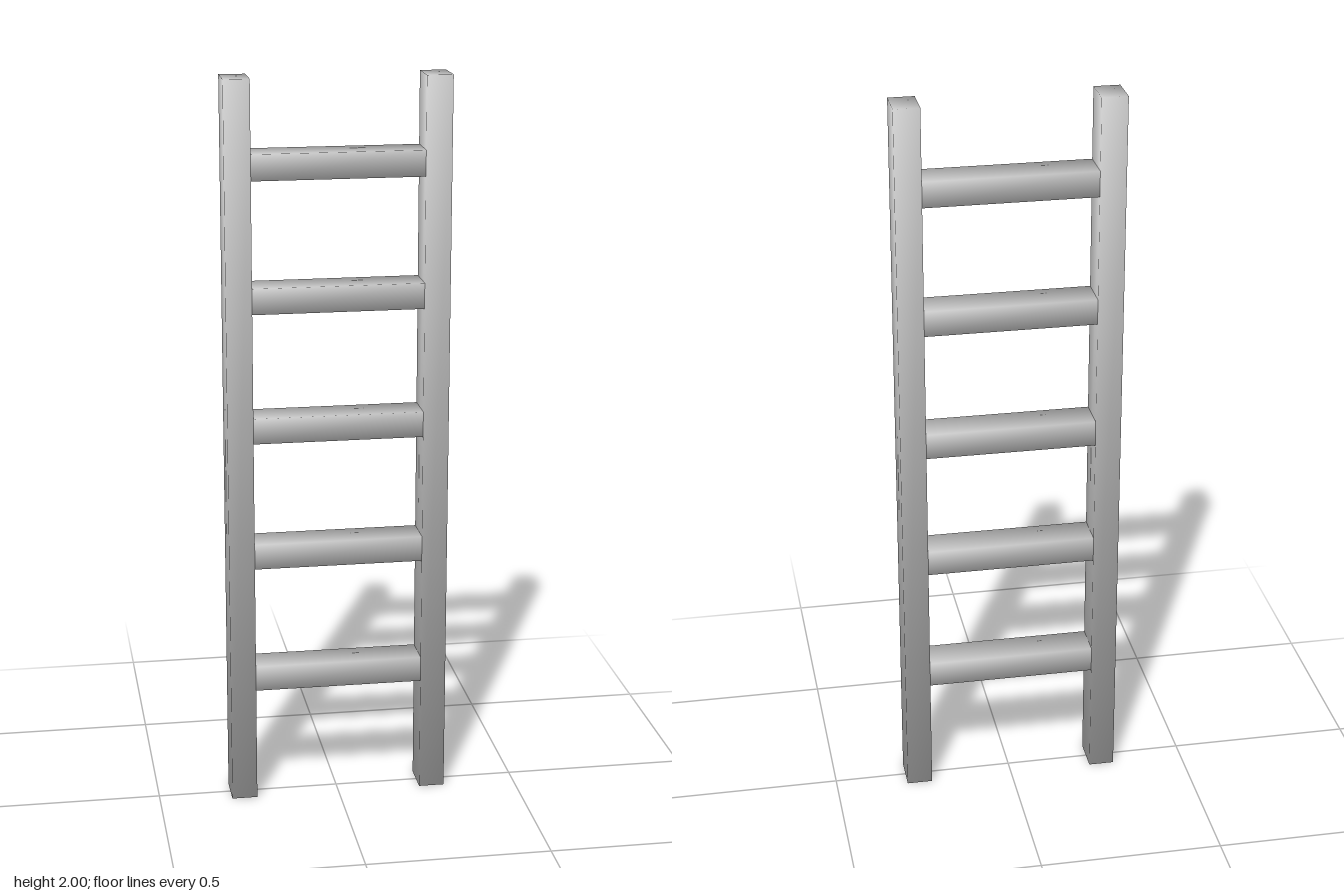
import * as THREE from 'three';

const HEIGHT = 2, HALF_WIDTH = 0.3, RAIL = 0.07, DEPTH = 0.098;
const RUNGS = 5, RUNG_HEIGHT = 0.07, FIRST_RUNG = 0.355, RUNG_STEP = 0.354;

// Box whose normals point out through its corners, for soft shading
function softBox(w, h, d) {
  const geometry = new THREE.BoxGeometry(w, h, d);
  const { position, normal } = geometry.attributes;
  const v = new THREE.Vector3();
  for (let i = 0; i < position.count; i++) {
    v.fromBufferAttribute(position, i);
    v.set(Math.sign(v.x), Math.sign(v.y), Math.sign(v.z)).normalize();
    normal.setXYZ(i, v.x, v.y, v.z);
  }
  return geometry;
}

export function createModel() {
  const ladder = new THREE.Group();
  ladder.name = 'ladder';
  const material = new THREE.MeshStandardMaterial({ color: 0xcccccc });

  const add = (name, geometry, x, y) => {
    const mesh = new THREE.Mesh(geometry, material);
    mesh.name = name;
    mesh.position.set(x, y, 0);
    ladder.add(mesh);
  };

  // Upright side rails
  const rail = softBox(RAIL, HEIGHT, DEPTH);
  for (const side of [-1, 1]) {
    add(side > 0 ? 'leftRail' : 'rightRail', rail, side * (HALF_WIDTH - RAIL / 2), HEIGHT / 2);
  }

  // Evenly spaced rungs, flush with the rails
  const rung = softBox(2 * (HALF_WIDTH - RAIL), RUNG_HEIGHT, DEPTH);
  for (let i = 0; i < RUNGS; i++) {
    add(`rung${i + 1}`, rung, 0, FIRST_RUNG + i * RUNG_STEP);
  }

  return ladder;
}
